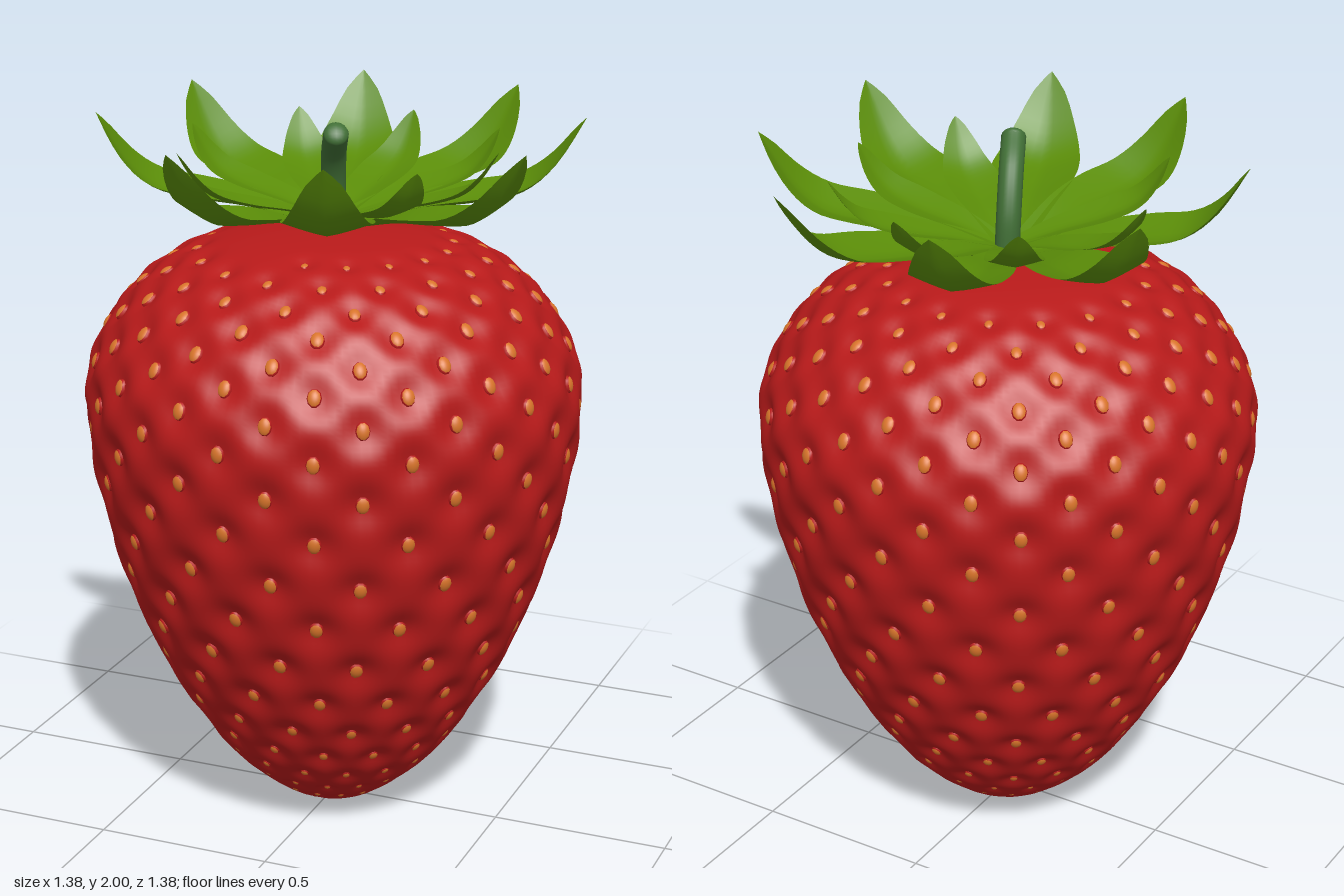
import * as THREE from 'three';
import { mergeGeometries, mergeVertices } from 'three/addons/utils/BufferGeometryUtils.js';

const v2 = (pts) => new THREE.SplineCurve(pts.map(([x, y]) => new THREE.Vector2(x, y)));
const clamp = THREE.MathUtils.clamp;

// Fruit outline as (radius, height), bottom to top
const outline = v2([[0, 0], [0.1, 0.015], [0.2, 0.075], [0.33, 0.2], [0.462, 0.4], [0.557, 0.6],
  [0.624, 0.8], [0.67, 1], [0.694, 1.2], [0.686, 1.31], [0.657, 1.395], [0.605, 1.48],
  [0.525, 1.56], [0.41, 1.625], [0.26, 1.667], [0.1, 1.685], [0, 1.687]]);

// Seed row heights; seeds follow one long helix with 16.5 seeds in each turn
const rows = [1.66, 1.63, 1.59, 1.54, 1.475, 1.41, 1.33, 1.235, 1.125, 1.005,
  0.87, 0.74, 0.605, 0.48, 0.365, 0.27, 0.185, 0.115, 0.06, 0.025];
const perTurn = 16.5;

function outlineAt(y) {
  let lo = 0, hi = 1;
  for (let i = 0; i < 30; i++) {
    const mid = (lo + hi) / 2;
    if (outline.getPoint(mid).y < y) lo = mid; else hi = mid;
  }
  const p = outline.getPoint(lo), t = outline.getTangent(lo);
  return { r: p.x, nr: t.y, ny: -t.x };
}

function seedSpots() {
  const spots = [];
  for (let k = 0; k <= (rows.length - 1) * perTurn; k++) {
    const turn = k / perTurn, i = Math.min(Math.floor(turn), rows.length - 2);
    const y = THREE.MathUtils.lerp(rows[i], rows[i + 1], turn - i);
    // Phase puts a seed just right of centre on the widest row
    const az = THREE.MathUtils.degToRad(-3.85) + (k - 115) * 2 * Math.PI / perTurn;
    const { r, nr, ny } = outlineAt(y);
    const s = Math.sin(az), c = Math.cos(az);
    spots.push({
      pos: new THREE.Vector3(r * s, y, r * c),
      normal: new THREE.Vector3(nr * s, ny, nr * c),
      sigma: clamp(0.2 * 2 * Math.PI * r / perTurn, 0.014, 0.044),
    });
  }
  return spots;
}

// Smooth lathe with a soft pit pressed in at every seed
function fruitGeometry(spots) {
  let g = new THREE.LatheGeometry(outline.getSpacedPoints(170), 190);
  g.deleteAttribute('uv');
  g.deleteAttribute('normal');
  const pos = g.attributes.position, p = new THREE.Vector3(), push = new THREE.Vector3();
  for (let i = 0; i < pos.count; i++) {
    p.fromBufferAttribute(pos, i);
    push.set(0, 0, 0);
    for (const s of spots) {
      const d = p.distanceToSquared(s.pos) / (s.sigma * s.sigma);
      if (d < 16) push.addScaledVector(s.normal, -0.62 * s.sigma * Math.exp(-d / 2));
    }
    p.add(push);
    pos.setXYZ(i, p.x, p.y, p.z);
  }
  g = mergeVertices(g, 1e-5);
  g.computeVertexNormals();
  return g;
}

// Small upright ovals resting in the pits; cap is the angle covered from the outer end
function seedsGeometry(spots, grow, cap) {
  const up = new THREE.Vector3(0, 1, 0), m = new THREE.Matrix4();
  return mergeGeometries(spots.map((s) => {
    const size = grow * clamp(s.sigma / 0.042, 0.5, 1);
    const x = new THREE.Vector3().crossVectors(up, s.normal).normalize();
    const y = new THREE.Vector3().crossVectors(s.normal, x);
    m.makeBasis(x, y, s.normal).setPosition(s.pos.clone().addScaledVector(s.normal, -0.62 * s.sigma));
    return new THREE.SphereGeometry(1, 10, 5, 0, Math.PI * 2, 0, cap).rotateX(Math.PI / 2)
      .scale(0.02 * size, 0.026 * size, 0.016 * size).applyMatrix4(m);
  }));
}

// Leaf along +z: rise gives (fraction of length, height), width gives half-widths
function leafGeometry(length, rise, width, cup) {
  const nu = 24, nv = 8, verts = [], index = [];
  const path = v2(rise), edge = v2(width);
  for (let i = 0; i <= nu; i++) {
    const p = path.getPoint(i / nu);
    let lo = 0, hi = 1;
    for (let n = 0; n < 24; n++) {
      const mid = (lo + hi) / 2;
      if (edge.getPoint(mid).x < p.x) lo = mid; else hi = mid;
    }
    const w = Math.max(0, edge.getPoint(lo).y);
    for (let j = 0; j <= nv; j++) {
      const s = j / nv * 2 - 1;
      verts.push(s * w, p.y + cup * (w / 0.12) * Math.abs(s) ** 1.2, p.x * length);
      if (i < nu && j < nv) {
        const a = i * (nv + 1) + j, b = a + nv + 1;
        index.push(a, b, a + 1, b, b + 1, a + 1);
      }
    }
  }
  const g = new THREE.BufferGeometry();
  g.setAttribute('position', new THREE.Float32BufferAttribute(verts, 3));
  g.setIndex(index);
  g.computeVertexNormals();
  return g;
}

export function createModel() {
  const red = new THREE.MeshStandardMaterial({ color: 0xb81a1a });
  red.name = 'fruitRed';
  const orange = new THREE.MeshStandardMaterial({ color: 0xd8742a });
  orange.name = 'seedOrange';
  const green = new THREE.MeshStandardMaterial({ color: 0x5a8c08, side: THREE.DoubleSide });
  green.name = 'leafGreen';
  const stemGreen = new THREE.MeshStandardMaterial({ color: 0x416f36 });
  stemGreen.name = 'stemGreen';

  const model = new THREE.Group();
  model.name = 'strawberry';
  const add = (parent, name, geometry, material) => {
    const mesh = new THREE.Mesh(geometry, material);
    mesh.name = name;
    parent.add(mesh);
    return mesh;
  };

  // Fruit, with red seeds that carry an orange face
  const spots = seedSpots();
  add(model, 'fruit', fruitGeometry(spots), red);
  add(model, 'seedBases', seedsGeometry(spots, 1, Math.PI * 0.6), red);
  add(model, 'seedFaces', seedsGeometry(spots, 1.06, Math.PI * 0.3), orange);

  // Leaf crown: tips as (x, z) for the outer and inner rings
  const crown = new THREE.Group();
  crown.name = 'leafCrown';
  model.add(crown);
  const ring = (name, tips, rise, width, cup) => tips.forEach(([x, z]) => {
    const leaf = add(crown, name, leafGeometry(Math.hypot(x, z), rise, width, cup), green);
    leaf.rotation.y = Math.atan2(x, z);
  });
  ring('outerLeaf',
    [[-0.18, -0.66], [0.31, -0.62], [0.63, -0.25], [0.63, 0.26], [0.22, 0.6], [-0.21, 0.6], [-0.62, 0.19], [-0.58, -0.33]],
    [[0, 1.685], [0.15, 1.705], [0.35, 1.738], [0.58, 1.758], [0.75, 1.785], [0.88, 1.86], [1, 1.99]],
    [[0, 0.03], [0.3, 0.088], [0.5, 0.118], [0.65, 0.121], [0.8, 0.1], [0.93, 0.055], [1, 0]], 0.035);
  ring('innerLeaf',
    [[-0.27, -0.39], [0.05, -0.47], [0.36, -0.32], [0.46, -0.03], [0.35, 0.29], [-0.32, 0.31], [-0.45, -0.06]],
    [[0, 1.705], [0.3, 1.742], [0.58, 1.768], [0.78, 1.8], [0.9, 1.85], [1, 1.925]],
    [[0, 0.03], [0.3, 0.058], [0.5, 0.074], [0.7, 0.077], [0.87, 0.053], [0.96, 0.025], [1, 0]], 0.03);

  // Curved stem with a rounded end
  const curve = new THREE.CatmullRomCurve3([[0, 1.68, -0.005], [0, 1.8, 0.005], [0.02, 1.905, 0.05], [0.055, 1.97, 0.12]]
    .map((p) => new THREE.Vector3(...p)));
  add(model, 'stem', new THREE.TubeGeometry(curve, 24, 0.034, 16), stemGreen);
  const tip = add(model, 'stemTip', new THREE.SphereGeometry(0.034, 16, 12).scale(1, 1, 0.6), stemGreen);
  tip.position.copy(curve.getPoint(1));
  tip.lookAt(curve.getPoint(1).add(curve.getTangent(1)));
  return model;
}
